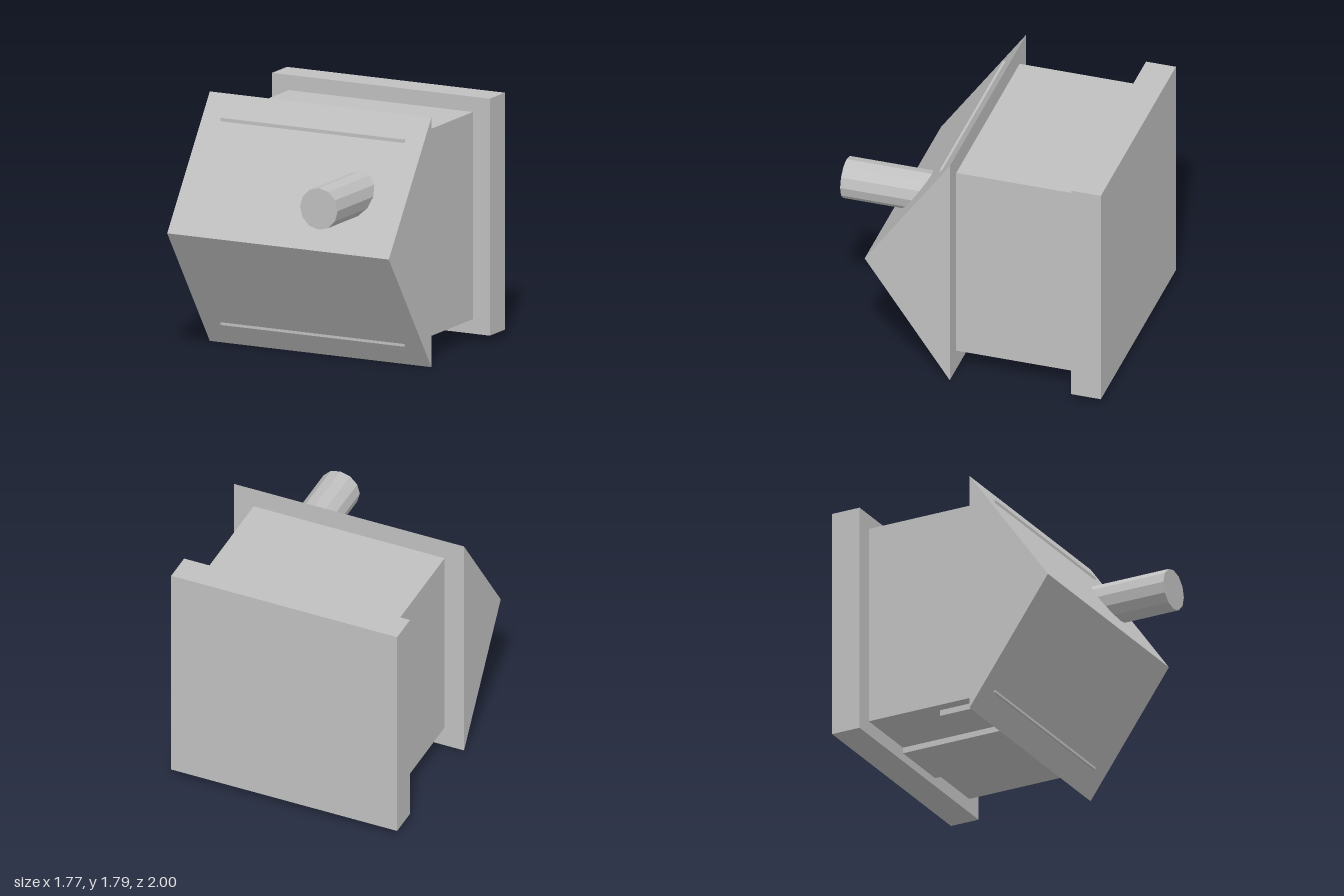
import * as THREE from 'three';

export function createModel() {
  const group = new THREE.Group();
  const grey = new THREE.MeshStandardMaterial({ color: 0xc0c0c0, flatShading: true });
  grey.name = 'plain grey';

  const add = (name, geometry) => {
    const mesh = new THREE.Mesh(geometry, grey);
    mesh.name = name;
    group.add(mesh);
    return mesh;
  };

  // Box given by its extents on each axis
  const block = (name, [x0, x1], [y0, y1], [z0, z1]) =>
    add(name, new THREE.BoxGeometry(x1 - x0, y1 - y0, z1 - z0))
      .position.set((x0 + x1) / 2, (y0 + y1) / 2, (z0 + z1) / 2);

  // Main body; its front edges just break through the wedge
  block('body', [-0.735, 0.735], [0.155, 1.645], [-0.79, 0.23]);
  block('backPlate', [-0.87, 0.87], [0.05, 1.755], [-1, -0.78]);

  // Raised pads on the underside
  block('undersidePanel', [-0.235, 0.235], [0.112, 0.16], [-0.79, -0.005]);
  block('undersidePad', [-0.655, -0.405], [0.112, 0.16], [-0.255, 0.03]);

  // Wedge-shaped front: triangular profile (z, y) extruded across x
  const profile = new THREE.Shape([
    new THREE.Vector2(-0.108, 0),
    new THREE.Vector2(-0.108, 1.795),
    new THREE.Vector2(-0.735, 0.8975),
  ]);
  const wedge = new THREE.ExtrudeGeometry(profile, { depth: 1.77, bevelEnabled: false });
  wedge.translate(0, 0, -0.885).rotateY(Math.PI / 2);
  add('frontWedge', wedge);

  // Twelve-sided barrel
  const barrel = new THREE.CylinderGeometry(0.15, 0.15, 0.85, 12);
  barrel.rotateX(Math.PI / 2);
  add('barrel', barrel).position.set(0.47, 1.27, 0.575);

  return group;
}
